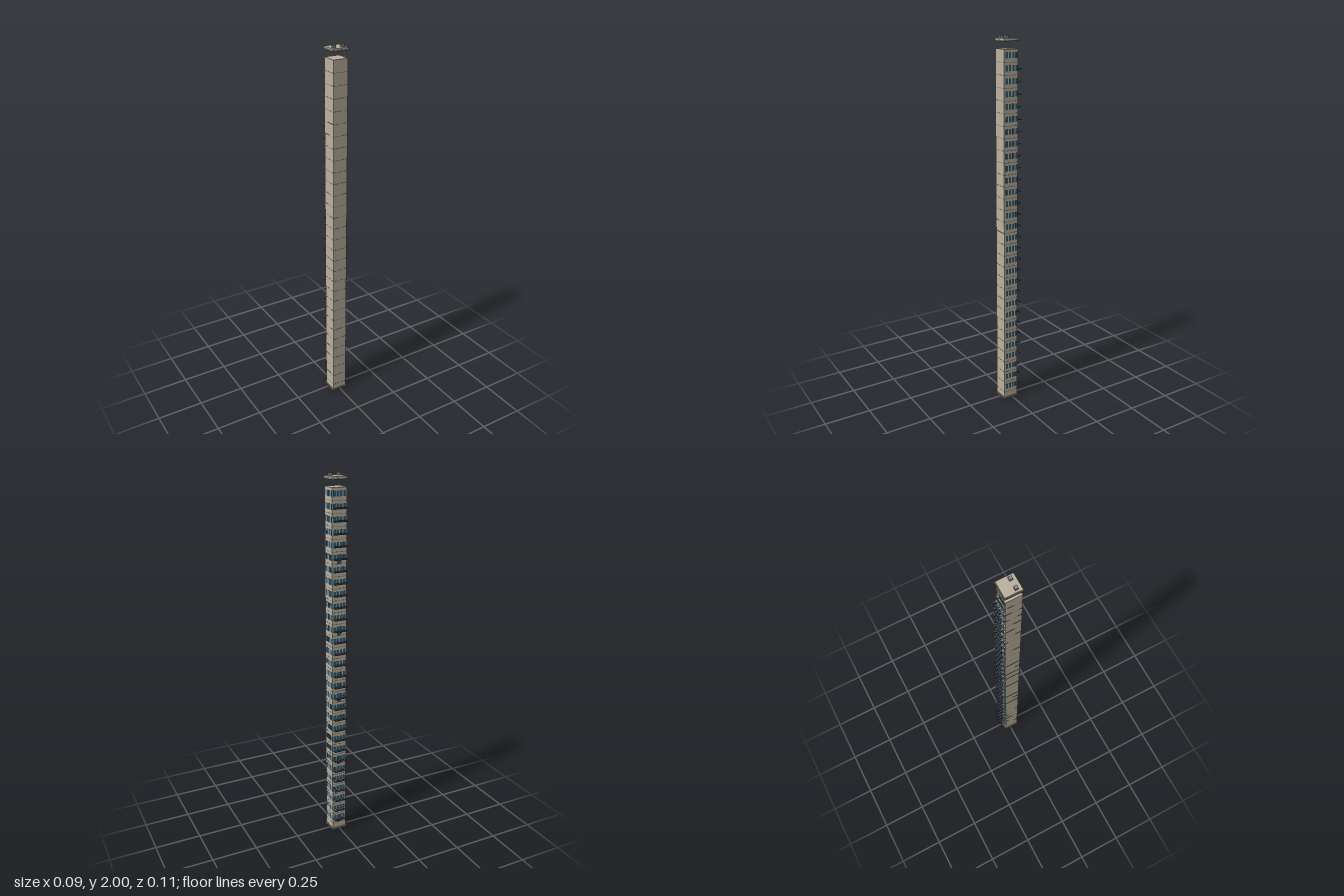
import * as THREE from 'three';

const material = (name, color) => {
  const m = new THREE.MeshStandardMaterial({ color });
  m.name = name;
  return m;
};

export function createModel() {
  const concrete = material('beige concrete', 0xbdb2a0);
  const trim = material('grey trim', 0x86807a);
  const glass = material('blue glass', 0x2f5f78);
  const dark = material('dark panel', 0x343a42);
  const metal = material('grey metal', 0x8b8e8c);

  const tower = new THREE.Group();
  tower.name = 'tower';

  const box = (parent, name, mat, [w, h, d], [x, y, z]) => {
    const mesh = new THREE.Mesh(new THREE.BoxGeometry(w, h, d), mat);
    mesh.name = name;
    mesh.position.set(x, y, z);
    parent.add(mesh);
    return mesh;
  };

  const floors = 30, pitch = 0.0631, top = 1.935;
  const first = top - floors * pitch;
  const width = 0.082, back = -0.032, front = 0.051;
  const depth = front - back, midZ = (front + back) / 2;
  const bays = [-1.5, -0.5, 0.5, 1.5];

  // Plinth and main shaft
  box(tower, 'plinth', trim, [0.092, 0.01, 0.092], [0, 0.005, 0.008]);
  box(tower, 'shaft', concrete, [width, top - 0.01, depth], [0, (top + 0.01) / 2, midZ]);

  // One repeated storey
  for (let i = 0; i < floors; i++) {
    const y = first + i * pitch;
    const storey = new THREE.Group();
    storey.name = 'storey' + (i + 1);
    storey.position.y = y;
    tower.add(storey);

    box(storey, 'floorBand', trim, [width + 0.001, 0.003, depth + 0.001], [0, 0, midZ]);

    for (const b of bays) {
      // Windows on the right side and the back
      box(storey, 'sideWindow', glass, [0.002, 0.029, 0.0125], [width / 2, 0.034, 0.006 + b * 0.0195]);
      box(storey, 'backWindow', glass, [0.014, 0.029, 0.002], [b * 0.0185, 0.034, back]);

      // Tilted panels carried by brackets on the back
      if (i < floors - 1) {
        box(storey, 'bracket', metal, [0.010, 0.002, 0.018], [b * 0.0185, 0.026, back - 0.009]);
        const panel = box(storey, 'panel', dark, [0.016, 0.003, 0.012], [b * 0.0185, 0.028, back - 0.019]);
        panel.rotation.x = -0.3;
      }
    }
    if (i < floors - 1) box(storey, 'rail', metal, [0.072, 0.003, 0.004], [0, 0.026, back - 0.002]);

    // Tall glazed door on every sixth storey
    if (i % 6 === 0) box(storey, 'door', glass, [0.02, 0.048, 0.003], [0, 0.026, back]);
  }

  // Raised roof slab with rim and two vents
  const roof = new THREE.Group();
  roof.name = 'roof';
  tower.add(roof);
  box(roof, 'roofRim', trim, [0.092, 0.006, 0.092], [0, 1.975, 0.008]);
  box(roof, 'roofSlab', concrete, [0.086, 0.009, 0.086], [0, 1.9815, 0.008]);
  for (const x of [-0.025, 0.023]) box(roof, 'vent', metal, [0.016, 0.015, 0.016], [x, 1.9925, 0.026]);

  return tower;
}
